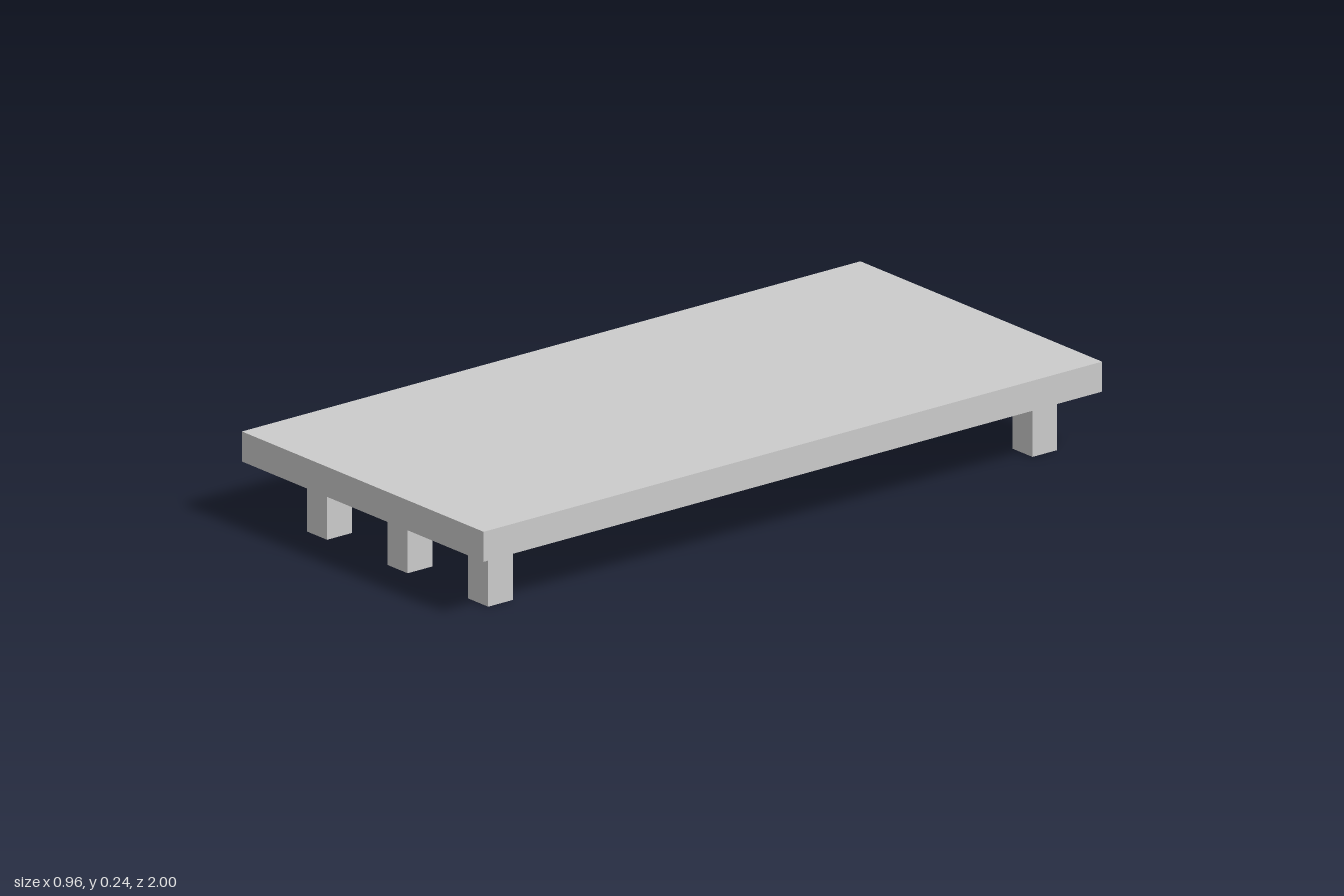
import * as THREE from 'three';

export function createModel() {
  const model = new THREE.Group();
  model.name = 'lowTable';
  const material = new THREE.MeshStandardMaterial({ color: 0xcccccc, flatShading: true });

  const addBox = (name, width, height, depth, x, y, z) => {
    const mesh = new THREE.Mesh(new THREE.BoxGeometry(width, height, depth), material);
    mesh.name = name;
    mesh.position.set(x, y, z);
    model.add(mesh);
  };

  // Flat slab top
  addBox('tableTop', 0.96, 0.08, 2, 0, 0.2, 0);

  // Three square legs at each end, set slightly off centre toward +x
  for (const [end, z] of [['front', 0.88], ['back', -0.88]]) {
    for (const [place, x] of [['Right', -0.28], ['Middle', 0.04], ['Left', 0.36]]) {
      addBox(`${end}${place}Leg`, 0.08, 0.16, 0.08, x, 0.08, z);
    }
  }

  return model;
}
